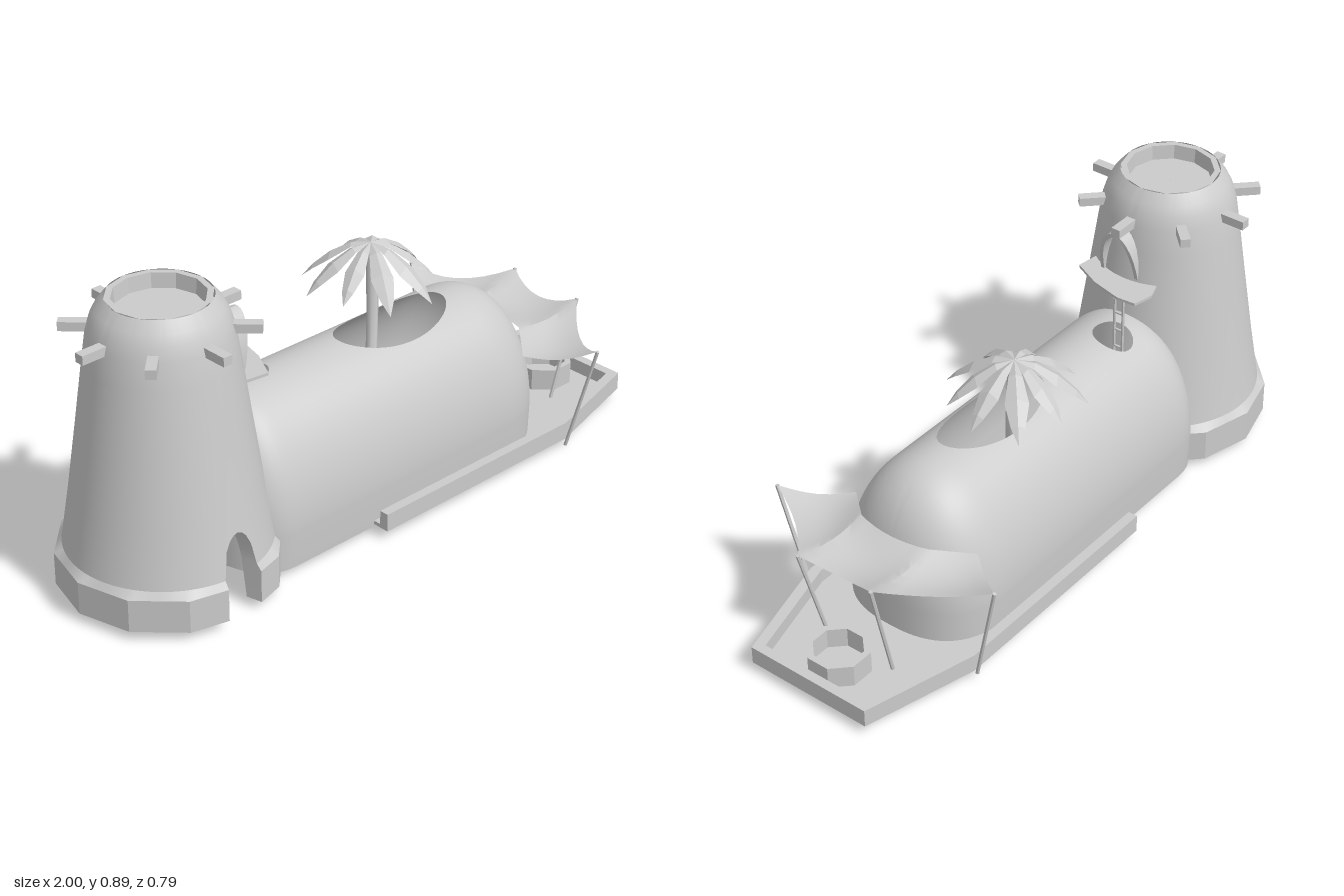
import * as THREE from 'three';
import { toCreasedNormals, mergeVertices } from 'three/addons/utils/BufferGeometryUtils.js';

const mat = new THREE.MeshStandardMaterial({ color: 0xcccccc, side: THREE.DoubleSide });
const flat = new THREE.MeshStandardMaterial({ color: 0xcccccc, side: THREE.DoubleSide, flatShading: true });
const V = (x, y, z) => new THREE.Vector3(x, y, z);

// Surface through fn(i, j) -> Vector3; skip(i, j) drops a corner's faces
function grid(nu, nv, fn, skip = () => false) {
  const pos = [], idx = [];
  for (let i = 0; i <= nu; i++) for (let j = 0; j <= nv; j++) pos.push(...fn(i, j).toArray());
  const tri = (...c) => {
    if (!c.every(([i, j]) => skip(i, j))) idx.push(...c.map(([i, j]) => i * (nv + 1) + j));
  };
  for (let i = 0; i < nu; i++) for (let j = 0; j < nv; j++) {
    tri([i, j], [i + 1, j], [i + 1, j + 1]);
    tri([i, j], [i + 1, j + 1], [i, j + 1]);
  }
  const g = new THREE.BufferGeometry();
  g.setAttribute('position', new THREE.Float32BufferAttribute(pos, 3));
  g.setIndex(idx);
  return g;
}

const smooth = (g, angle = 0.42) => toCreasedNormals(mergeVertices(g, 1e-5), angle);

function add(parent, name, geo, material = mat) {
  const m = new THREE.Mesh(geo, material);
  m.name = name;
  parent.add(m);
  return m;
}

// Straight round bar between two points
function bar(parent, name, a, b, r, sides = 6) {
  const m = add(parent, name, new THREE.CylinderGeometry(r, r, a.distanceTo(b), sides), flat);
  m.position.copy(a).lerp(b, 0.5);
  m.quaternion.setFromUnitVectors(V(0, 1, 0), b.clone().sub(a).normalize());
  return m;
}

// Horizontal slab from [x, z] outline points
function slab(parent, name, pts, y, h) {
  const s = new THREE.Shape(pts.map(([x, z]) => new THREE.Vector2(x, -z)));
  const g = new THREE.ExtrudeGeometry(s, { depth: h, bevelEnabled: false });
  return add(parent, name, g.rotateX(-Math.PI / 2).translate(0, y, 0), flat);
}

function tower() {
  const g = new THREE.Group();
  g.name = 'tower';
  g.position.set(-0.68, 0, 0.015);
  const rows = [[0.02, 0.32], [0.12, 0.32], [0.14, 0.295], [0.2, 0.285], [0.3, 0.269], [0.5, 0.24],
    [0.7, 0.212], [0.78, 0.2], [0.82, 0.188], [0.85, 0.173], [0.88, 0.148]];
  const radius = (y, a) => {
    let k = 0;
    while (k < rows.length - 2 && y > rows[k + 1][0]) k++;
    const [y0, r0] = rows[k], [y1, r1] = rows[k + 1];
    const r = r0 + (r1 - r0) * (y - y0) / (y1 - y0);
    if (y > 0.13) return r;
    const step = Math.PI / 6, m = ((a % step) + step) % step; // twelve-sided plinth
    return r * Math.cos(step / 2) / Math.cos(m - step / 2);
  };
  const at = (a, y, inset = 0) => {
    const r = radius(y, a) - inset;
    return V(r * Math.sin(a), y, r * Math.cos(a));
  };

  // Wall, whose lower edge rises over the arched doorway
  const mid = 0.045, half = 0.2;
  const arch = a => 0.14 + 0.12 * Math.sqrt(Math.max(0, 1 - ((a - mid) / half) ** 2));
  const cols = [];
  for (let i = 0; i <= 120; i++) {
    const a = -Math.PI + i * Math.PI / 60;
    cols.push([a, Math.abs(a - mid) < half ? arch(a) : 0.02]);
  }
  for (const s of [-1, 1]) cols.push([mid + s * half, 0.02, -s], [mid + s * half, 0.14, s]);
  cols.sort((p, q) => p[0] - q[0] || (p[0] < mid ? p[1] - q[1] : q[1] - p[1]));
  add(g, 'towerWall', smooth(grid(cols.length - 1, rows.length - 1,
    (i, j) => at(cols[i][0], Math.max(rows[j][0], cols[i][1])))));

  // Doorway reveal
  const edge = [[mid - half, 0.02]];
  for (let i = 0; i <= 16; i++) {
    const a = mid - half * Math.cos(i * Math.PI / 16);
    edge.push([a, arch(a)]);
  }
  edge.push([mid + half, 0.02]);
  add(g, 'doorReveal', smooth(grid(edge.length - 1, 1, (i, j) => at(edge[i][0], edge[i][1], j * 0.05))));

  // Recessed roof
  const rim = [[0.148, 0.88], [0.13, 0.88], [0.126, 0.835], [0.001, 0.835]].map(p => new THREE.Vector2(...p));
  add(g, 'roofRecess', new THREE.LatheGeometry(rim, 12), flat);

  // Projecting beams
  for (let i = 0; i < 8; i++) {
    const b = add(g, 'beam', new THREE.BoxGeometry(0.03, 0.027, 0.11).translate(0, 0.787, 0.217), flat);
    b.rotation.y = i * Math.PI / 4;
  }
  return g;
}

// Long vaulted hall with two oval roof openings
function hall() {
  const nu = 110, nv = 72;
  const openings = [[0.18, 0.01, 0.21, 0.1], [-0.33, -0.04, 0.058, 0.062]];
  const scale = x => {
    const d = x > 0.42 ? (x - 0.42) / 0.24 : x < -0.4 ? (-0.4 - x) / 0.16 : 0;
    return Math.max(0, 1 - d ** 2.5) ** 0.4;
  };
  const xAt = i => {
    if (i < 14) return -0.4 - 0.16 * Math.cos(i / 14 * Math.PI / 2);
    if (i > 90) return 0.42 + 0.24 * Math.sin((i - 90) / 20 * Math.PI / 2);
    return -0.4 + 0.82 * (i - 14) / 76;
  };
  const base = (i, j) => {
    const x = xAt(i), s = scale(x);
    if (j === 0 || j === nv) return V(x, 0.015, (j ? -1 : 1) * 0.245 * s);
    const a = (j - 1) / (nv - 2) * Math.PI;
    return V(x, 0.13 + 0.37 * s * Math.sin(a), 0.25 * s * Math.cos(a));
  };
  const inside = p => p.y < 0.35 ? undefined
    : openings.find(([x, z, rx, rz]) => ((p.x - x) / rx) ** 2 + ((p.z - z) / rz) ** 2 < 1);
  const point = (i, j) => {
    const p = base(i, j), o = inside(p);
    if (!o) return p;
    const [x, z, rx, rz] = o; // pull to the rim of the opening
    const e = Math.hypot((p.x - x) / rx, (p.z - z) / rz) || 1;
    p.x = x + (p.x - x) / e;
    p.z = z + (p.z - z) / e;
    const s = scale(p.x);
    p.y = 0.13 + 0.37 * s * Math.sqrt(Math.max(0, 1 - (p.z / (0.25 * s)) ** 2));
    return p;
  };
  return smooth(grid(nu, nv, point, (i, j) => !!inside(base(i, j))), 0.7);
}

function palm() {
  const g = new THREE.Group();
  g.name = 'palm';
  const path = new THREE.CatmullRomCurve3([V(0.02, 0, 0.045), V(0.1, 0.2, 0), V(0.165, 0.45, -0.05), V(0.185, 0.7, -0.075)]);
  add(g, 'trunk', new THREE.TubeGeometry(path, 12, 0.018, 7));
  // Folded, drooping fronds: [distance out, height, half width]
  const rib = [[0, 0, 0.004], [0.06, -0.008, 0.02], [0.125, -0.045, 0.034], [0.18, -0.095, 0.02], [0.215, -0.14, 0]];
  const frond = grid(rib.length - 1, 2, (i, j) => {
    const [d, y, w] = rib[i];
    return V((j - 1) * w, y - Math.abs(j - 1) * w * 0.5, d);
  });
  for (let i = 0; i < 9; i++) {
    const f = add(g, 'frond', frond, flat);
    f.position.set(0.182, 0.712, -0.075);
    f.rotation.y = i * Math.PI * 2 / 9 + 0.2;
    f.scale.setScalar(0.94 + 0.06 * Math.cos(i * 2.3));
  }
  return g;
}

function terrace() {
  const g = new THREE.Group();
  g.name = 'terrace';
  slab(g, 'floor', [[-0.48, 0.22], [-0.11, 0.24], [-0.11, 0.29], [0.65, 0.29], [0.99, 0.2],
    [0.99, -0.2], [0.65, -0.29], [-0.11, -0.29], [-0.11, -0.24], [-0.48, -0.22]], 0.022, 0.012);
  slab(g, 'rim', [[-0.11, 0.3], [0.65, 0.3], [1, 0.205], [1, -0.205], [0.65, -0.3], [-0.11, -0.3],
    [-0.11, -0.27], [0.64, -0.27], [0.97, -0.18], [0.97, 0.18], [0.64, 0.27], [-0.11, 0.27]], 0.022, 0.056);
  // Eight-sided tub
  const tub = [[0.074, 0.02], [0.094, 0.02], [0.094, 0.103], [0.074, 0.103], [0.074, 0.04], [0.001, 0.04]];
  const t = add(g, 'tub', new THREE.LatheGeometry(tub.map(p => new THREE.Vector2(...p)), 8), flat);
  t.position.x = 0.87;
  t.rotation.y = Math.PI / 8;

  // Sagging cloth awning on four poles
  const tops = [V(0.67, 0.35, 0.39), V(0.87, 0.36, 0.13), V(0.87, 0.37, -0.13), V(0.67, 0.365, -0.39)];
  const wall = [V(0.53, 0.32, 0.22), V(0.62, 0.345, 0.12), V(0.62, 0.345, -0.12), V(0.53, 0.32, -0.22)];
  const feet = [V(0.65, 0, 0.3), V(0.79, 0.03, 0.11), V(0.79, 0.03, -0.125), V(0.65, 0.02, -0.31)];
  tops.forEach((p, i) => bar(g, 'awningPole', feet[i], p, 0.006));
  const n = 8;
  add(g, 'awning', smooth(grid(3 * n, 6, (i, j) => {
    const k = Math.min(2, Math.floor(i / n)), t = i / n - k, v = j / 6, sag = 4 * t * (1 - t);
    const outer = tops[k].clone().lerp(tops[k + 1], t);
    outer.y -= 0.035 * sag;
    outer.x -= 0.03 * sag;
    const inner = wall[k].clone().lerp(wall[k + 1], t);
    if (k === 1) inner.x += 0.02 * sag;
    const p = inner.lerp(outer, v);
    p.y -= 0.02 * Math.sin(v * Math.PI);
    return p;
  }), 0.5));
  return g;
}

function balcony() {
  const g = new THREE.Group();
  g.name = 'balcony';
  slab(g, 'balconyFloor', [[-0.5, 0.15], [-0.43, 0.16], [-0.385, 0.07], [-0.36, -0.03], [-0.365, -0.09],
    [-0.43, -0.105], [-0.5, -0.08]], 0.598, 0.009);
  // Arched hood leaning out of the tower wall
  const n = 14;
  add(g, 'balconyHood', smooth(grid(n, 3, (i, j) => {
    const a = i / n * Math.PI, w = j < 2 ? 0.068 : 0.056, h = j < 2 ? 0.165 : 0.153;
    const s = Math.sin(a) ** 0.9, y = 0.6 + h * s;
    return V(j === 0 || j === 3 ? -0.5 : -0.463 + 0.035 * s, y, 0.035 + w * Math.cos(a));
  })));
  // Ladder through the small roof opening
  for (const z of [-0.02, -0.05]) {
    bar(g, 'ladderRail', V(-0.365, 0, z), V(-0.365, 0.598, z), 0.005);
  }
  for (let y = 0.07; y < 0.59; y += 0.06) bar(g, 'ladderRung', V(-0.365, y, -0.02), V(-0.365, y, -0.05), 0.004);
  return g;
}

export function createModel() {
  const model = new THREE.Group();
  model.name = 'desertHouse';
  model.add(tower());
  add(model, 'hall', hall());
  model.add(palm(), terrace(), balcony());
  return model;
}
